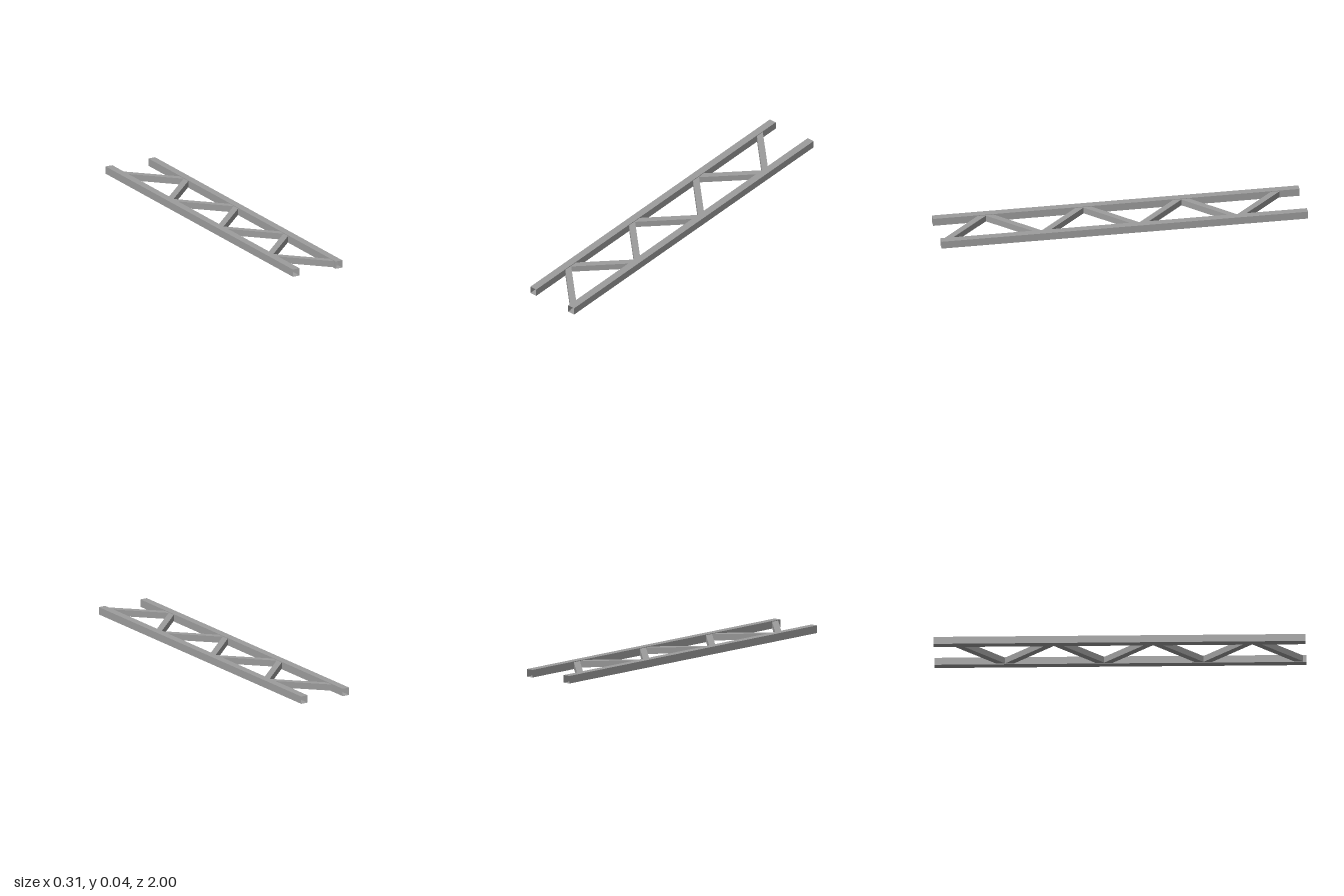
import * as THREE from 'three';

const CHORD = 0.0415;   // chord tube side
const BRACE = 0.0345;   // diagonal tube side
const HALF = 0.133;     // chord centre line from the middle
const PITCH = 0.2667;   // spacing of the nodes along z
const MID_Y = CHORD / 2;

const steel = new THREE.MeshStandardMaterial({ color: 0x9d9d9d, flatShading: true, side: THREE.DoubleSide });

// Square tube with open ends, running from point a to point b
function squareTube(name, side, a, b) {
  const length = a.distanceTo(b);
  const geometry = new THREE.CylinderGeometry(side * Math.SQRT1_2, side * Math.SQRT1_2, length, 4, 1, true);
  geometry.rotateY(Math.PI / 4);
  geometry.rotateX(Math.PI / 2);
  const mesh = new THREE.Mesh(geometry, steel);
  mesh.name = name;
  mesh.position.copy(a).add(b).multiplyScalar(0.5);
  mesh.lookAt(b);
  return mesh;
}

export function createModel() {
  const group = new THREE.Group();
  group.name = 'ladderTruss';

  // Two long parallel chords
  for (const s of [-1, 1]) {
    group.add(squareTube(s > 0 ? 'leftChord' : 'rightChord', CHORD,
      new THREE.Vector3(s * HALF, MID_Y, -1), new THREE.Vector3(s * HALF, MID_Y, 1)));
  }

  // Zigzag of diagonals between the chord centre lines, set slightly to the left
  const node = (i) => new THREE.Vector3(0.001 + (i % 2 ? HALF : -HALF), MID_Y, -0.887 + i * PITCH);
  for (let i = 0; i < 7; i++) {
    group.add(squareTube(`diagonalBrace${i + 1}`, BRACE, node(i), node(i + 1)));
  }
  return group;
}
